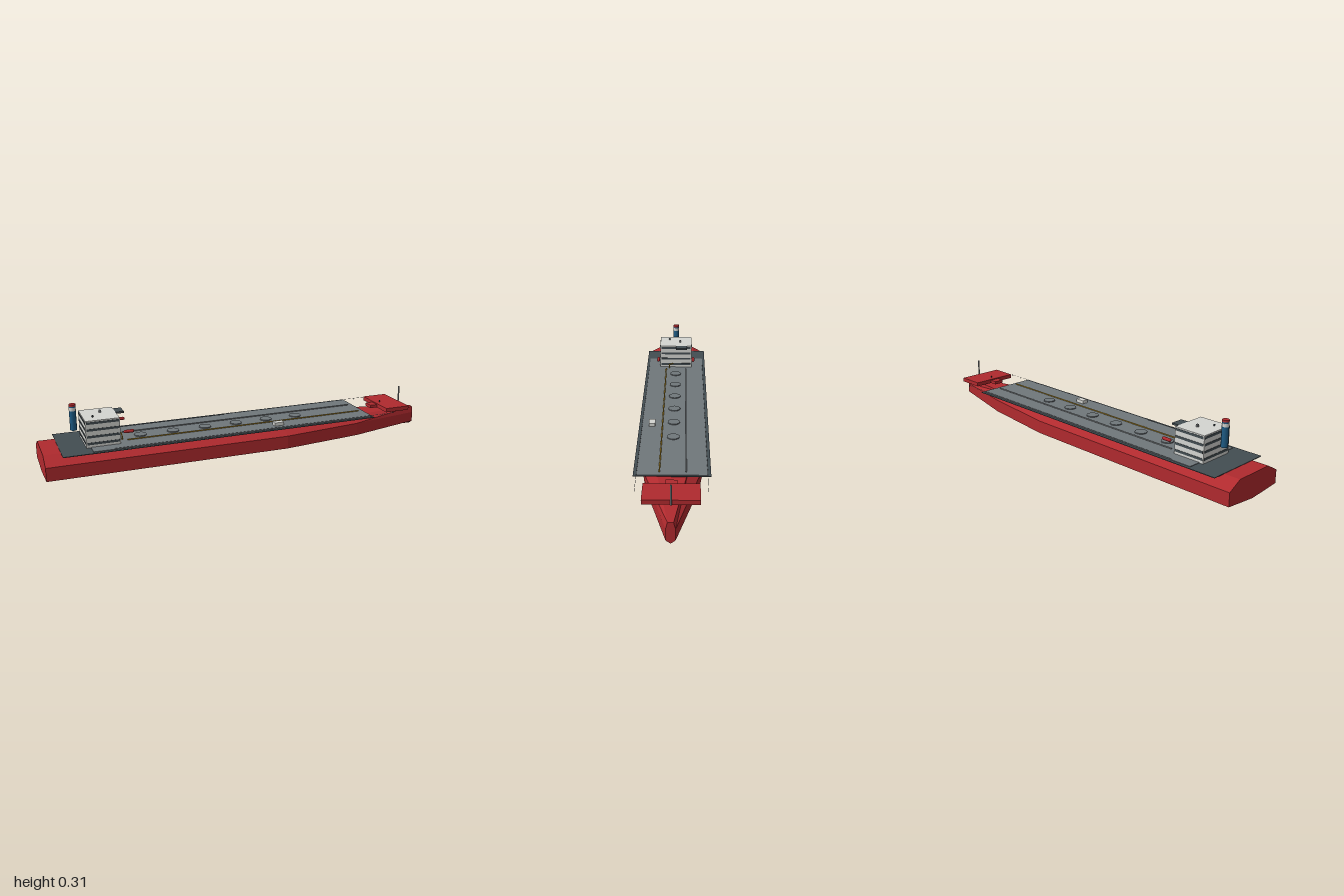
import * as THREE from 'three';

const mat = (name, color) => {
  const m = new THREE.MeshStandardMaterial({ color });
  m.name = name;
  return m;
};

// Hull cross-sections [x, half width, shoulder height, deck height] joined in a loop
function hullGeometry() {
  const stations = [
    [-1, 0.17, 0.08, 0.118], [0.18, 0.17, 0.08, 0.118],
    [0.6, 0.118, 0.08, 0.111], [1, 0.02, 0.066, 0.097],
  ];
  const rings = stations.map(([x, h, ys, yt]) => [
    [x, 0, 0], [x, 0.015, h], [x, ys, h], [x, yt, 0.6 * h],
    [x, yt, -0.6 * h], [x, ys, -h], [x, 0.015, -h],
  ]);
  const pos = [];
  const tri = (...pts) => pts.forEach((p) => pos.push(...p));
  const n = rings[0].length;
  for (let s = 0; s < rings.length - 1; s++) {
    const a = rings[s], b = rings[s + 1];
    for (let i = 0; i < n; i++) {
      const j = (i + 1) % n;
      tri(a[i], b[i], b[j]);
      tri(a[i], b[j], a[j]);
    }
  }
  const stern = rings[0], bow = rings[rings.length - 1];
  for (let i = 1; i < n - 1; i++) {
    tri(stern[0], stern[i], stern[i + 1]);
    tri(bow[0], bow[i + 1], bow[i]);
  }
  const g = new THREE.BufferGeometry();
  g.setAttribute('position', new THREE.Float32BufferAttribute(pos, 3));
  g.computeVertexNormals();
  return g;
}

export function createModel() {
  const ship = new THREE.Group();
  ship.name = 'cargoShip';
  const red = mat('hullRed', 0xb02a2e);
  const darkGrey = mat('darkGrey', 0x434d52);
  const deckGrey = mat('deckGrey', 0x70777b);
  const white = mat('houseWhite', 0xd4d5d1);
  const blue = mat('funnelBlue', 0x1f5c85);
  const yellow = mat('pipeYellow', 0xb8922a);
  const steel = mat('steelGrey', 0x8f9496);

  const add = (name, geometry, material, x = 0, y = 0, z = 0, parent = ship) => {
    const m = new THREE.Mesh(geometry, material);
    m.name = name;
    m.position.set(x, y, z);
    parent.add(m);
    return m;
  };
  // Box given by its limits on each axis
  const box = (name, material, x0, x1, y0, y1, z0, z1, parent) =>
    add(name, new THREE.BoxGeometry(x1 - x0, y1 - y0, z1 - z0), material,
      (x0 + x1) / 2, (y0 + y1) / 2, (z0 + z1) / 2, parent);
  const post = (name, material, r, y0, y1, x, z, sides = 12, parent) =>
    add(name, new THREE.CylinderGeometry(r, r, y1 - y0, sides), material, x, (y0 + y1) / 2, z, parent);
  const pipe = (name, material, r, x0, x1, y, z) => {
    const p = add(name, new THREE.CylinderGeometry(r, r, x1 - x0, 8), material, (x0 + x1) / 2, y, z);
    p.rotation.z = Math.PI / 2;
    return p;
  };

  add('hull', hullGeometry(), red);

  // Deck plates
  box('deckBorder', darkGrey, -0.92, 0.67, 0.117, 0.12, -0.168, 0.168);
  box('mainDeck', deckGrey, -0.78, 0.665, 0.12, 0.1225, -0.153, 0.153);

  // Tank hatches and pipes
  for (let i = 0; i < 6; i++) {
    post('hatch', deckGrey, 0.03, 0.1225, 0.127, -0.525 + i * 0.164, 0, 16);
  }
  pipe('yellowPipe', yellow, 0.003, -0.6, 0.64, 0.1255, 0.055);
  pipe('greyPipe', steel, 0.003, -0.6, 0.64, 0.1255, -0.06);
  box('deckLocker', white, 0.13, 0.18, 0.1225, 0.139, 0.09, 0.121);

  // Side rails
  for (const s of [-1, 1]) {
    pipe('railing', steel, 0.0008, -0.68, 0.8, 0.126, s * 0.153);
    for (let i = 0; i <= 20; i++) {
      post('railPost', steel, 0.0007, 0.118, 0.128, -0.68 + i * 0.074, s * 0.153, 5);
    }
  }

  // Deck house with a band of windows on each storey
  const house = new THREE.Group();
  house.name = 'deckHouse';
  ship.add(house);
  box('houseBody', white, -0.8, -0.64, 0.12, 0.25, -0.09, 0.09, house);
  for (let i = 0; i < 4; i++) {
    const y = 0.134 + i * 0.033;
    box('windowBandAcross', darkGrey, -0.8015, -0.6385, y, y + 0.011, -0.084, 0.084, house);
    box('windowBandAlong', darkGrey, -0.796, -0.644, y, y + 0.011, -0.0915, 0.0915, house);
  }
  box('bridgeWing', darkGrey, -0.7, -0.6, 0.241, 0.2495, -0.064, 0, house);
  post('roofVent', darkGrey, 0.004, 0.25, 0.258, -0.755, 0.037, 8, house);
  box('roofBox', steel, -0.715, -0.705, 0.25, 0.262, -0.029, -0.019, house);

  // Funnel in coloured bands
  const funnel = new THREE.Group();
  funnel.name = 'funnel';
  ship.add(funnel);
  post('funnelLower', blue, 0.016, 0.187, 0.281, -0.84, 0, 12, funnel);
  post('funnelBand', white, 0.0162, 0.281, 0.297, -0.84, 0, 12, funnel);
  post('funnelUpper', blue, 0.016, 0.297, 0.303, -0.84, 0, 12, funnel);
  post('funnelCap', red, 0.0165, 0.303, 0.312, -0.84, 0, 12, funnel);

  // Lifeboats
  for (const s of [-1, 1]) {
    const boat = add('lifeboat', new THREE.CapsuleGeometry(0.008, 0.034, 4, 12), red, -0.602, 0.182, s * 0.099);
    boat.rotation.z = Math.PI / 2;
  }

  // Small crane boom ahead of the house
  post('craneBase', yellow, 0.003, 0.1225, 0.143, -0.622, 0.037, 8);
  const boom = box('craneBoom', yellow, -0.624, -0.62, 0.144, 0.148, 0.012, 0.042);
  boom.rotation.x = 0.35;

  // Raised bow platform and mast
  box('bowPlatform', red, 0.77, 0.905, 0.12, 0.141, -0.12, 0.12);
  box('bowStep', red, 0.73, 0.77, 0.12, 0.136, -0.025, 0.025);
  post('bowFitting', darkGrey, 0.003, 0.141, 0.149, 0.8, 0, 8);
  post('bowMast', steel, 0.004, 0.125, 0.217, 0.917, 0, 8);

  return ship;
}
